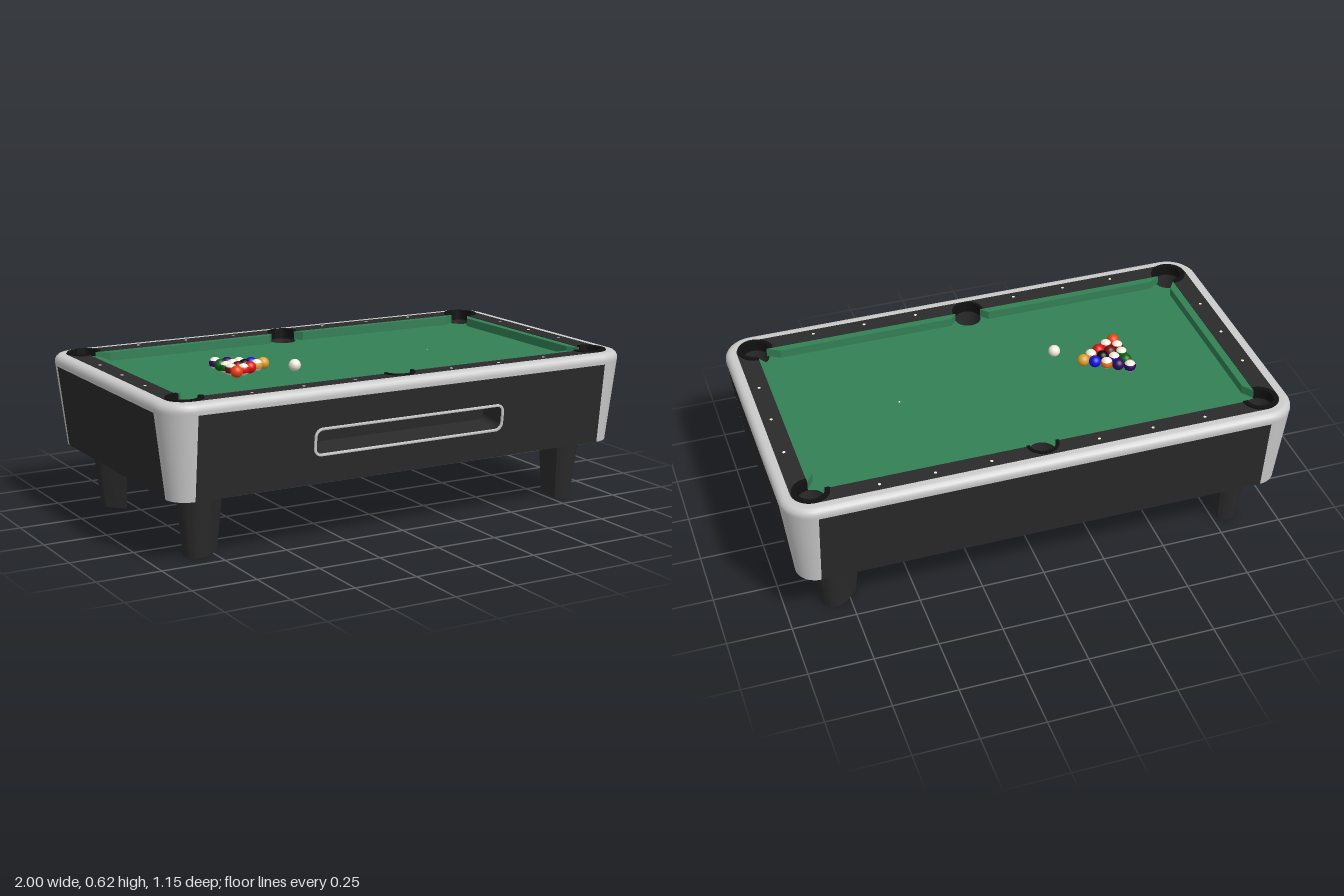
import * as THREE from 'three';
import { toCreasedNormals } from 'three/addons/utils/BufferGeometryUtils.js';

// Corner centres of every rounded outline, and key heights
const CX = 0.88, CZ = 0.455, PZ = 0.46, POCKET_R = 0.052;
const BASE_Y = 0.245, RIM_Y = 0.565, BED_Y = 0.571, TOP_Y = 0.607;
const R_BASE = 0.08, R_RIM = 0.118, R_INNER = 0.075;
const PI = Math.PI;

const mat = (color, side = THREE.FrontSide) => new THREE.MeshStandardMaterial({ color, side });
const grey = mat(0xcccccc);
const black = mat(0x2a2a2a);
const blackBoth = mat(0x2a2a2a, THREE.DoubleSide);
const trimBlack = mat(0x101010);
const cloth = mat(0x338055);
const ivory = mat(0xf2ecdc);

// Pockets in order round the table: x, y in plan, start and end angle of the outer arc
const POCKETS = [
  [CX, PZ, -PI / 2, PI], [0, PZ, 0, PI], [-CX, PZ, 0, 1.5 * PI],
  [-CX, -PZ, PI / 2, 2 * PI], [0, -PZ, PI, 2 * PI], [CX, -PZ, PI, 2.5 * PI],
];

function add(parent, name, geometry, material, x = 0, y = 0, z = 0) {
  const mesh = new THREE.Mesh(geometry, material);
  mesh.name = name;
  mesh.position.set(x, y, z);
  parent.add(mesh);
  return mesh;
}

// Rounded rectangle: half sizes to the corner centres plus a radius
function roundedRect(path, hx, hy, r, cy = 0) {
  path.absarc(hx, cy + hy, r, 0, PI / 2);
  path.absarc(-hx, cy + hy, r, PI / 2, PI);
  path.absarc(-hx, cy - hy, r, PI, 1.5 * PI);
  path.absarc(hx, cy - hy, r, 1.5 * PI, 2 * PI);
  path.closePath();
  return path;
}

// Play area, with pockets bulging outwards or biting inwards
function playArea(path, bite) {
  for (const [x, y, a, b] of POCKETS) path.absarc(x, y, POCKET_R, a, b, bite);
  path.closePath();
  return path;
}

// Plan shape raised into a slab
function slab(shape, depth) {
  const g = new THREE.ExtrudeGeometry(shape, { depth, bevelEnabled: false, curveSegments: 24 });
  return toCreasedNormals(g.rotateX(-PI / 2), 0.5);
}

function polygon(points) {
  return new THREE.Shape(points.map(([x, y]) => new THREE.Vector2(x, y)));
}

// Lathe profile whose quarters are pushed apart to run round the table
function rimGeometry() {
  const profile = [[R_RIM, RIM_Y], [0.12, 0.578], [0.1185, 0.588], [0.114, 0.597],
    [0.106, 0.604], [0.096, TOP_Y], [R_INNER, TOP_Y]].map(p => new THREE.Vector2(...p));
  const segments = 128;
  const g = new THREE.LatheGeometry(profile, segments, PI / segments);
  const p = g.attributes.position;
  for (let i = 0; i < p.count; i++) {
    p.setX(i, p.getX(i) + Math.sign(p.getX(i)) * CX);
    p.setZ(i, p.getZ(i) + Math.sign(p.getZ(i)) * CZ);
  }
  return g;
}

// Leg section: round towards the table corner, flat towards the middle, tapering down
function legGeometry() {
  const r = 0.0725, height = BASE_Y + 0.003, mid = -0.035;
  const s = new THREE.Shape();
  s.moveTo(-0.1, -r);
  s.absarc(0, 0, r, -PI / 2, PI / 2);
  s.lineTo(-0.1, r);
  s.closePath();
  const g = new THREE.ExtrudeGeometry(s, { depth: height, bevelEnabled: false, curveSegments: 24 });
  g.rotateX(-PI / 2);
  const p = g.attributes.position;
  for (let i = 0; i < p.count; i++) {
    const k = THREE.MathUtils.lerp(0.72, 1, p.getY(i) / height);
    p.setX(i, mid + (p.getX(i) - mid) * k);
    p.setZ(i, p.getZ(i) * k);
  }
  return toCreasedNormals(g, 0.5);
}

function buildCabinet(table) {
  const rise = RIM_Y - BASE_Y, flare = R_RIM - R_BASE;
  const height = Math.hypot(rise, flare), tilt = Math.atan2(flare, rise);

  // Four sloping panels; the front one has the ball return opening
  for (let i = 0; i < 4; i++) {
    const half = i % 2 ? CZ : CX, out = (i % 2 ? CX : CZ) + R_BASE;
    const turn = new THREE.Group();
    turn.name = ['frontSide', 'leftSide', 'backSide', 'rightSide'][i];
    turn.rotation.y = i * PI / 2;
    const panel = new THREE.Group();
    panel.position.set(0, BASE_Y, out);
    panel.rotation.x = tilt;
    turn.add(panel);
    table.add(turn);
    const s = polygon([[-half, 0], [half, 0], [half, height], [-half, height]]);
    if (i === 0) {
      s.holes.push(roundedRect(new THREE.Path(), 0.38, 0.022, 0.025, 0.162));
      buildBallReturn(panel);
    }
    add(panel, 'panel', new THREE.ShapeGeometry(s, 8), black);
  }

  // Flared metal corners
  for (let i = 0; i < 4; i++) {
    const g = new THREE.CylinderGeometry(R_RIM, R_BASE, rise, 20, 1, true, i * PI / 2, PI / 2);
    add(table, 'cornerCap', g, grey,
      i < 2 ? CX : -CX, (BASE_Y + RIM_Y) / 2, i === 0 || i === 3 ? CZ : -CZ);
  }

  const underside = new THREE.ShapeGeometry(roundedRect(new THREE.Shape(), CX, CZ, R_BASE), 16);
  add(table, 'underside', underside.rotateX(PI / 2), black, 0, BASE_Y, 0);
}

function buildBallReturn(panel) {
  const ring = (outer, depth, bevel) => {
    const s = roundedRect(new THREE.Shape(), 0.38, 0.022, outer, 0.162);
    s.holes.push(roundedRect(new THREE.Path(), 0.38, 0.022, 0.025, 0.162));
    return new THREE.ExtrudeGeometry(s, { depth, curveSegments: 10, bevelEnabled: bevel,
      bevelSize: 0.002, bevelThickness: 0.002, bevelSegments: 2 });
  };
  add(panel, 'returnFrame', toCreasedNormals(ring(0.031, 0.004, true), 0.6), grey);
  add(panel, 'returnTrayWalls', ring(0.03, 0.12, false), black, 0, 0, -0.121);
  const back = new THREE.ShapeGeometry(roundedRect(new THREE.Shape(), 0.38, 0.022, 0.03, 0.162), 8);
  add(panel, 'returnTrayBack', back, black, 0, 0, -0.12);
}

function buildTop(table) {
  add(table, 'rim', rimGeometry(), grey);

  // Rail with the play area and pockets cut out
  const rail = roundedRect(new THREE.Shape(), CX, CZ, R_INNER);
  rail.holes.push(playArea(new THREE.Path(), false));
  add(table, 'rail', slab(rail, TOP_Y - 0.5), black, 0, 0.5, 0);

  const bed = new THREE.ShapeGeometry(playArea(new THREE.Shape(), true), 20);
  add(table, 'bed', bed.rotateX(-PI / 2), cloth, 0, BED_Y, 0);

  // Pocket cups and their raised C-shaped trims
  for (const [x, y, a, b] of POCKETS) {
    const cup = new THREE.CylinderGeometry(POCKET_R, POCKET_R, BED_Y - 0.5, 32, 1, true);
    add(table, 'pocketCup', cup, blackBoth, x, (BED_Y + 0.5) / 2, -y);
    const floor = new THREE.CircleGeometry(POCKET_R, 32).rotateX(-PI / 2);
    add(table, 'pocketFloor', floor, black, x, 0.503, -y);
    const trim = new THREE.Shape();
    trim.absarc(0, 0, x ? 0.07 : 0.063, a, b);
    trim.absarc(0, 0, POCKET_R - 0.001, b, a, true);
    trim.closePath();
    add(table, 'pocketTrim', slab(trim, 0.041), trimBlack, x, BED_Y, -y);
  }

  // Cushions with angled ends
  const depth = 0.605 - BED_Y;
  const longCushion = slab(polygon([[-0.392, 0], [-0.365, -0.03], [0.342, -0.03], [0.392, 0]]), depth);
  const endCushion = slab(polygon([[-0.405, 0], [-0.36, -0.03], [0.36, -0.03], [0.405, 0]]), depth);
  for (const s of [-1, 1]) {
    for (const t of [-1, 1]) {
      const c = add(table, 'longCushion', longCushion, cloth, s * 0.444, BED_Y, t * PZ);
      c.scale.set(s, 1, -t);
    }
    const e = add(table, 'endCushion', endCushion, cloth, s * CX, BED_Y, 0);
    e.rotation.y = -s * PI / 2;
  }

  // Rail sights and the spot on the cloth
  const dot = new THREE.CylinderGeometry(0.006, 0.006, 0.002, 12);
  for (const s of [-1, 1]) {
    for (const x of [0.21, 0.425, 0.635])
      for (const m of [-1, 1]) add(table, 'railSight', dot, ivory, m * x, TOP_Y, s * 0.5);
    for (const z of [-0.21, 0, 0.21]) add(table, 'railSight', dot, ivory, s * 0.92, TOP_Y, z);
  }
  add(table, 'spot', new THREE.CylinderGeometry(0.004, 0.004, 0.001, 12), ivory, 0.42, BED_Y, 0);
}

function buildBalls(table) {
  const r = 0.0235;
  const sphere = new THREE.SphereGeometry(r, 24, 16);
  const band = new THREE.SphereGeometry(r * 1.01, 24, 8, 0, 2 * PI, PI / 2 - 0.5, 1);
  // Rows from the apex back, each from -z to +z: [colour, striped]
  const rows = [
    [[0xe0a030]],
    [[0x1010e0], [0xe0a030, 1]],
    [[0xe07020, 1], [0x080808], [0xe01010]],
    [[0x300860], [0x1010e0, 1], [0x701010], [0xe01010, 1]],
    [[0x300860, 1], [0x086010], [0x086010, 1], [0x701010, 1], [0xf04010]],
  ];
  const place = (name, x, z, color, striped) => {
    const ball = add(table, name, sphere, striped ? ivory : mat(color), x, BED_Y + r, z);
    if (striped) add(ball, 'stripe', band, mat(color));
  };
  rows.forEach((row, i) => row.forEach(([color, striped], j) =>
    place('ball', -0.335 - i * 0.04, 0.007 + (j - i / 2) * 0.0465, color, striped)));
  place('cueBall', -0.247, 0.102, 0xf2ecdc, 0);
}

export function createModel() {
  const table = new THREE.Group();
  table.name = 'poolTable';
  buildCabinet(table);
  buildTop(table);
  buildBalls(table);

  const leg = legGeometry();
  for (const sx of [-1, 1])
    for (const sz of [-1, 1])
      add(table, 'leg', leg, black, sx * 0.8125, 0, sz * 0.3875).rotation.y = -Math.atan2(sz, sx);
  return table;
}
